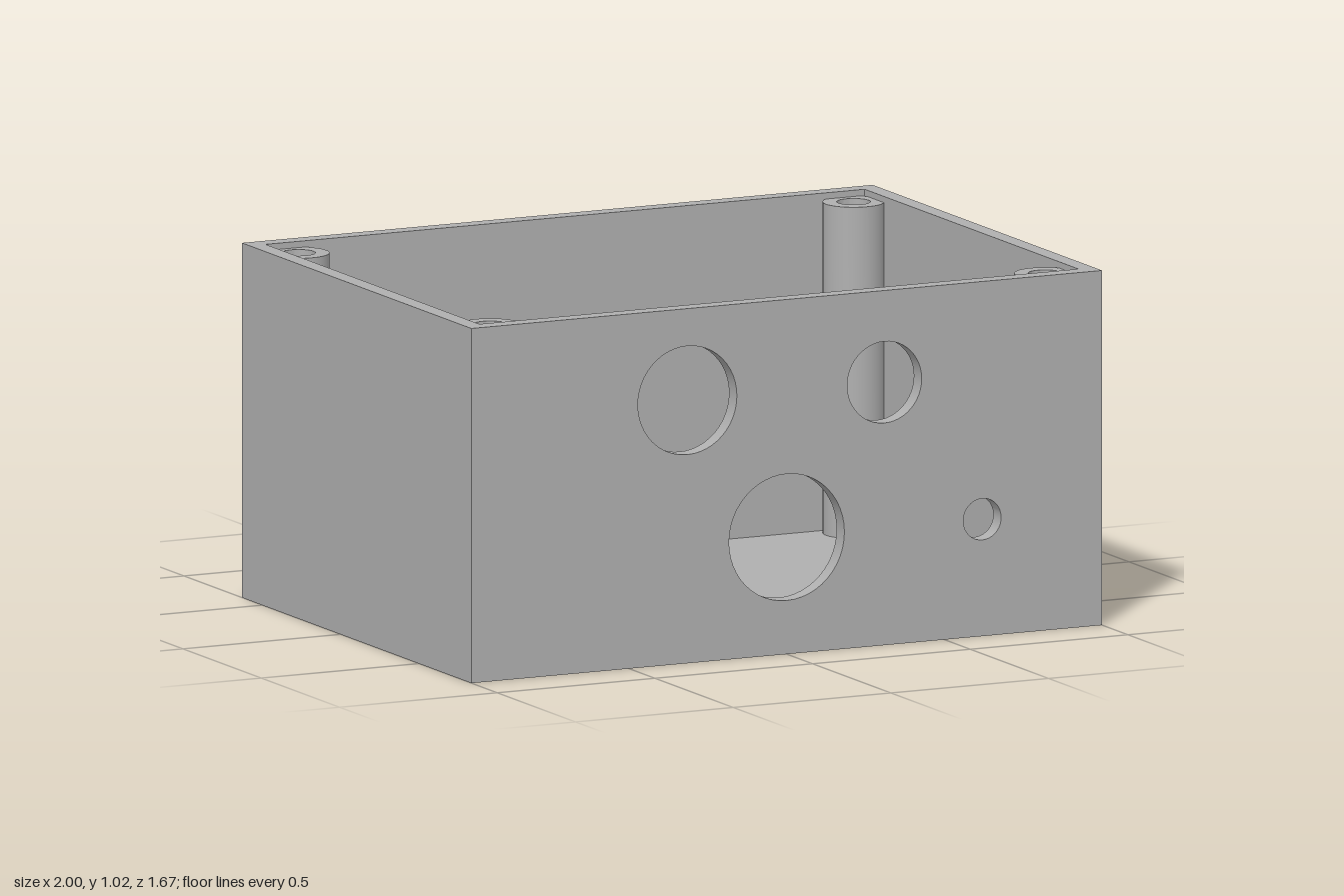
import * as THREE from 'three';
import { toCreasedNormals } from 'three/addons/utils/BufferGeometryUtils.js';

const H = 1.025, T = 0.05, BACK = -0.63, FRONT = 0.835;

const rectPoints = (x0, y0, x1, y1) => [[x0, y0], [x1, y0], [x1, y1], [x0, y1]].map(p => new THREE.Vector2(...p));

const rectHole = (x0, y0, x1, y1) => new THREE.Path(rectPoints(x0, y0, x1, y1));

const roundHole = (x, y, r) => new THREE.Path().absarc(x, y, r, 0, Math.PI * 2, true);

// Flat plate with holes, extruded along +z
function plate(x0, y0, x1, y1, depth, holes = []) {
  const shape = new THREE.Shape(rectPoints(x0, y0, x1, y1));
  shape.holes.push(...holes);
  return toCreasedNormals(new THREE.ExtrudeGeometry(shape, { depth, bevelEnabled: false, curveSegments: 24 }), 0.6);
}

function lathe(points) {
  const profile = points.map(p => new THREE.Vector2(...p));
  return toCreasedNormals(new THREE.LatheGeometry(profile, 48), 0.6);
}

export function createModel() {
  const grey = new THREE.MeshStandardMaterial({ color: 0xb0b0b0 });
  grey.name = 'grey';
  const model = new THREE.Group();
  model.name = 'enclosure';
  const add = (name, geometry, x = 0, y = 0, z = 0) => {
    const mesh = new THREE.Mesh(geometry, grey);
    mesh.name = name;
    mesh.position.set(x, y, z);
    model.add(mesh);
  };

  // Front panel with four round openings, plain back panel
  add('frontWall', plate(-1, 0, 1, H, T, [
    roundHole(-0.315, 0.76, 0.157), roundHole(0.31, 0.76, 0.118),
    roundHole(0, 0.338, 0.183), roundHole(0.62, 0.338, 0.06),
  ]), 0, 0, FRONT - T);
  add('backWall', plate(-1, 0, 1, H, T), 0, 0, BACK);

  // Side walls, one with a grid of vent holes
  const vents = [];
  for (let i = 0; i < 5; i++) {
    for (let j = 0; j < 3; j++) vents.push(roundHole(-0.113 + i * 0.1115, 0.38 + j * 0.1115, 0.029));
  }
  const side = holes => plate(BACK + T, 0, FRONT - T, H, T, holes).rotateY(-Math.PI / 2);
  add('ventedWall', side(vents), 1);
  add('plainWall', side([]), -1 + T);

  // Floor with a rectangular cable slot
  const floor = plate(-1 + T, BACK + T, 1 - T, FRONT - T, T, [rectHole(-0.14, 0.165, 0.135, 0.325)]);
  add('floor', floor.rotateX(Math.PI / 2), 0, T);

  // Hollow screw posts in the corners, just below the rim
  const top = H - 0.018;
  for (const x of [-0.88, 0.88]) {
    for (const z of [-0.51, 0.713]) {
      add('screwPost', lathe([[0.088, T], [0.088, top], [0.048, top], [0.048, T]]), x, 0, z);
    }
  }

  // Slotted mounting rails on the back
  for (const y of [0.245, 0.91]) {
    const rail = plate(-0.665, -0.755, 0.663, BACK, 0.13, [
      rectHole(-0.54, -0.733, -0.444, -0.663), rectHole(0.53, -0.733, 0.625, -0.663),
    ]);
    add('mountingRail', rail.rotateX(Math.PI / 2), 0, y);
  }

  // Round hub on the back with a blind bore
  const hub = lathe([[0.244, 0], [0.244, 0.21], [0.06, 0.21], [0.06, 0.11], [0, 0.11]]);
  add('backHub', hub.rotateX(-Math.PI / 2), 0, 0.515, BACK);

  return model;
}
